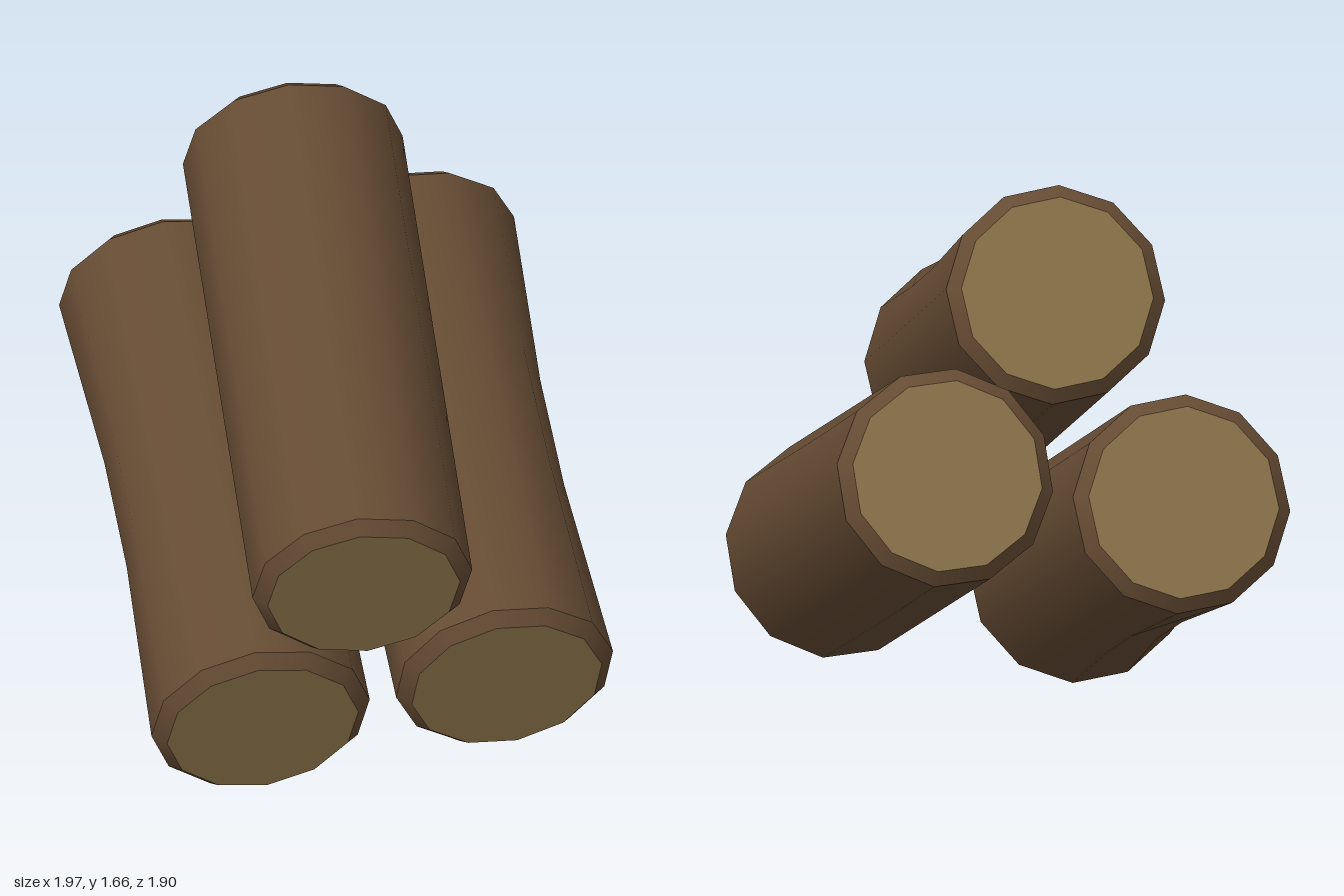
import * as THREE from 'three';
import { mergeGeometries } from 'three/addons/utils/BufferGeometryUtils.js';

const SIDES = 12, RADIUS = 0.308, CUT_RADIUS = 0.27, BEVEL = 0.035, DENT = 0.04;

// Bark tube along y, hollowed a little on its +x side, with a bevel at both ends
function barkGeometry(length) {
  const half = length / 2 - BEVEL;
  const body = new THREE.CylinderGeometry(RADIUS, RADIUS, half * 2, SIDES, 3, true);
  const p = body.attributes.position;
  for (let i = 0; i < p.count; i++) {
    const x = p.getX(i), y = p.getY(i);
    if (Math.abs(y) < half * 0.9) {
      p.setX(i, x - DENT * Math.max(0, x / RADIUS));
      p.setY(i, Math.sign(y) * length * 0.115);
    }
  }
  const front = new THREE.CylinderGeometry(CUT_RADIUS, RADIUS, BEVEL, SIDES, 1, true);
  front.translate(0, half + BEVEL / 2, 0);
  const back = new THREE.CylinderGeometry(RADIUS, CUT_RADIUS, BEVEL, SIDES, 1, true);
  back.translate(0, -half - BEVEL / 2, 0);
  return mergeGeometries([body, front, back]);
}

export function createModel() {
  const bark = new THREE.MeshStandardMaterial({ color: 0x654b33 });
  bark.name = 'brown bark';
  const wood = new THREE.MeshStandardMaterial({ color: 0x8a724a });
  wood.name = 'pale cut wood';

  // Centres of the front and back cut of each log
  const logs = [
    ['lowerFrontLog', [0.285, 0.285, 0.735], [-0.795, 0.84, -0.28]],
    ['lowerBackLog', [0.785, 0.378, 0.27], [-0.315, 0.94, -0.74]],
    ['topLog', [0.612, 0.835, 0.705], [-0.415, 1.4, -0.35]],
  ].map(([name, a, b]) => {
    const front = new THREE.Vector3(...a), back = new THREE.Vector3(...b);
    return { name, front, back, mid: front.clone().add(back).multiplyScalar(0.5) };
  });
  const centre = new THREE.Vector3();
  logs.forEach((l) => centre.addScaledVector(l.mid, 1 / logs.length));

  const model = new THREE.Group();
  model.name = 'logPile';
  for (const { name, front, back, mid } of logs) {
    const log = new THREE.Group();
    log.name = name;
    const length = front.distanceTo(back);

    const tube = new THREE.Mesh(barkGeometry(length), bark);
    tube.name = 'bark';
    log.add(tube);

    // Cut faces
    for (const s of [1, -1]) {
      const disc = new THREE.CircleGeometry(CUT_RADIUS, SIDES);
      disc.rotateX(-s * Math.PI / 2);
      const cut = new THREE.Mesh(disc, wood);
      cut.name = s > 0 ? 'frontCut' : 'backCut';
      cut.position.y = s * length / 2;
      log.add(cut);
    }

    // Lay the log along its axis with the hollow side facing out of the pile
    const yAxis = front.clone().sub(back).normalize();
    const xAxis = mid.clone().sub(centre);
    xAxis.addScaledVector(yAxis, -xAxis.dot(yAxis)).normalize();
    const zAxis = xAxis.clone().cross(yAxis);
    log.quaternion.setFromRotationMatrix(new THREE.Matrix4().makeBasis(xAxis, yAxis, zAxis));
    log.position.copy(mid);
    model.add(log);
  }
  return model;
}
